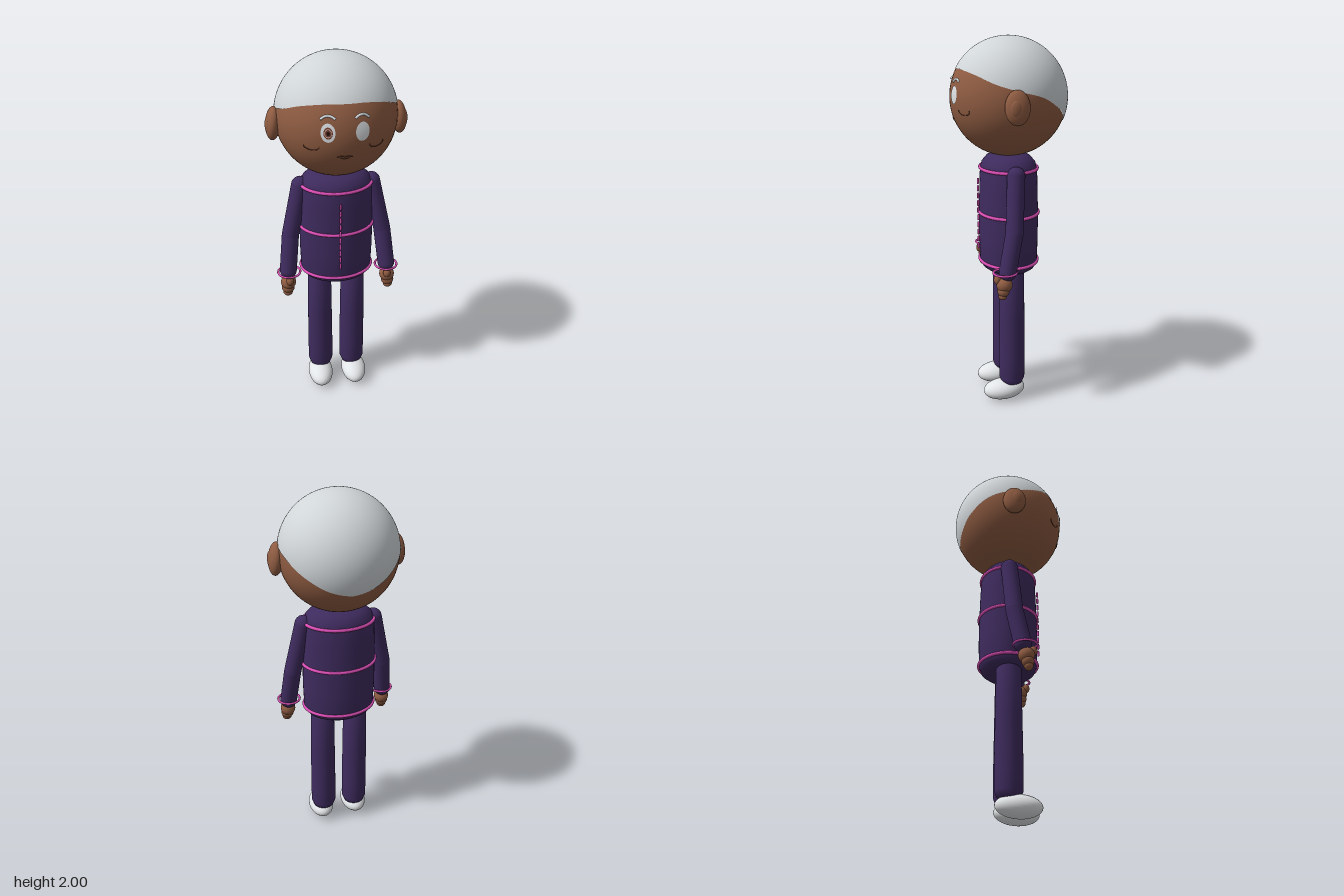
import * as THREE from 'three';

const mat = (name, color, side = THREE.FrontSide) => {
  const m = new THREE.MeshStandardMaterial({ color, side });
  m.name = name;
  return m;
};
const V = (x, y, z) => new THREE.Vector3(x, y, z);
const HEAD_Y = 1.693, HEAD_R = 0.304;

export function createModel() {
  const skin = mat('brown skin', 0x8f5c42);
  const line = mat('dark skin line', 0x5e3423);
  const hairMat = mat('silver hair', 0xd0d5d8, THREE.DoubleSide);
  const cloth = mat('purple cloth', 0x3e2b5e);
  const trim = mat('pink trim', 0xd94db4);
  const shoeMat = mat('white shoe', 0xe4e7e9);
  const eyeMat = mat('eye white', 0xdfe3e6);
  const irisMat = mat('iris brown', 0x7a4030);
  const pupilMat = mat('pupil dark', 0x24120e);

  const model = new THREE.Group();
  model.name = 'figure';
  const add = (name, geo, material, x = 0, y = 0, z = 0) => {
    const mesh = new THREE.Mesh(geo, material);
    mesh.name = name;
    mesh.position.set(x, y, z);
    model.add(mesh);
    return mesh;
  };
  const ball = (name, material, p, rx, ry, rz) => {
    const mesh = add(name, new THREE.SphereGeometry(1, 32, 20), material, ...p);
    mesh.scale.set(rx, ry, rz);
    return mesh;
  };
  // round-ended limb between two points
  const limb = (name, material, a, b, r) => {
    const d = b.clone().sub(a);
    const mesh = add(name, new THREE.CapsuleGeometry(r, d.length(), 10, 28), material);
    mesh.position.copy(a).add(b).multiplyScalar(0.5);
    mesh.quaternion.setFromUnitVectors(V(0, 1, 0), d.normalize());
    return mesh;
  };
  // point on the front of the head
  const onFace = (x, y, lift) => {
    const r = HEAD_R + lift, dy = y - HEAD_Y;
    return V(x, y, Math.sqrt(r * r - x * x - dy * dy));
  };
  // thin oval following the face
  const oval = (name, material, x, y, rx, ry, lift) => {
    const geo = new THREE.RingGeometry(0.001, 1, 36, 4);
    const pos = geo.attributes.position;
    for (let i = 0; i < pos.count; i++) {
      const p = onFace(x + pos.getX(i) * rx, y + pos.getY(i) * ry, lift);
      pos.setXYZ(i, p.x, p.y, p.z);
    }
    geo.computeVertexNormals();
    return add(name, geo, material);
  };
  // thin cord following the face
  const faceLine = (name, material, points, r, closed = false) => {
    const curve = new THREE.CatmullRomCurve3(points.map(([x, y]) => onFace(x, y, 0.001)), closed);
    return add(name, new THREE.TubeGeometry(curve, 32, r, 8, closed), material);
  };

  // head
  add('head', new THREE.SphereGeometry(HEAD_R, 64, 40), skin, 0, HEAD_Y, 0);

  // hair cap: hairline heights run from the front round to the back
  const hairline = new THREE.SplineCurve(
    [1.84, 1.836, 1.815, 1.775, 1.742, 1.71, 1.648, 1.588, 1.562]
      .map((y, i) => new THREE.Vector2(i / 8, y)));
  const hairGeo = new THREE.SphereGeometry(1, 96, 32);
  const hp = hairGeo.attributes.position, uv = hairGeo.attributes.uv;
  for (let i = 0; i < hp.count; i++) {
    const a = uv.getX(i) * Math.PI * 2, v = 1 - uv.getY(i);
    const turn = Math.acos(THREE.MathUtils.clamp(Math.sin(a), -1, 1)) / Math.PI;
    const edge = Math.acos((hairline.getPoint(turn).y - HEAD_Y) / 0.307);
    const t = edge * Math.min(1, v * 32 / 31);
    const n = V(-Math.cos(a) * Math.sin(t), Math.cos(t), Math.sin(a) * Math.sin(t));
    const r = v > 0.99 ? 0.301 : 0.307;   // last ring tucks into the scalp
    hp.setXYZ(i, n.x * r, n.y * r, n.z * r);
    hairGeo.attributes.normal.setXYZ(i, n.x, n.y, n.z);
  }
  add('hair', hairGeo, hairMat, 0, HEAD_Y, 0);

  // torso, an oval lathe
  const profile = [[0, 0.752], [0.09, 0.754], [0.145, 0.762], [0.178, 0.782], [0.194, 0.815],
    [0.198, 0.95], [0.197, 1.085], [0.193, 1.22], [0.188, 1.32], [0.176, 1.355],
    [0.145, 1.385], [0.1, 1.402], [0, 1.41]].map(([x, y]) => new THREE.Vector2(x, y));
  add('jacket', new THREE.LatheGeometry(profile, 48), cloth).scale.z = 0.8;

  // bands round the jacket
  for (const [y, r] of [[1.325, 0.188], [1.085, 0.198], [0.815, 0.195]]) {
    const band = add('jacketBand', new THREE.TorusGeometry(r, 0.009, 10, 64).rotateX(Math.PI / 2), trim, 0, y, 0);
    band.scale.z = 0.81;
  }
  // stitched zip
  for (let i = 0; i < 10; i++) {
    add('zipStitch', new THREE.CapsuleGeometry(0.006, 0.022, 4, 8), trim, 0, 0.895 + i * 0.04, 0.165);
  }

  for (const s of [-1, 1]) {
    // ears
    ball('ear', skin, [s * 0.312, 1.67, 0.022], 0.038, 0.085, 0.062).rotation.z = s * 0.1;
    ball('innerEar', skin, [s * 0.336, 1.665, 0.032], 0.017, 0.046, 0.032);

    // eyes, brows and cheeks
    oval('eye', eyeMat, s * 0.08, 1.715, 0.033, 0.045, 0.003);
    faceLine('eyebrow', eyeMat,
      [[s * 0.045, 1.778], [s * 0.066, 1.79], [s * 0.09, 1.79], [s * 0.112, 1.776]], 0.006);
    const cheek = [];
    for (let i = 0; i <= 8; i++) {
      const a = Math.PI * (0.95 + i * 0.14);
      cheek.push([s * 0.153 + 0.035 * Math.cos(a), 1.642 + 0.021 * Math.sin(a)]);
    }
    faceLine('cheekLine', line, cheek, 0.002);

    // arms
    const shoulder = V(s * 0.188, 1.315, 0), elbow = V(s * 0.25, 1.03, 0.022);
    const wrist = V(s * 0.272, 0.83, 0.062);
    limb('upperArm', cloth, shoulder, elbow, 0.046);
    limb('forearm', cloth, elbow, wrist, 0.046);
    add('cuffRing', new THREE.TorusGeometry(0.06, 0.006, 10, 40).rotateX(Math.PI / 2), trim,
      s * 0.268, 0.828, 0.075);

    // hands
    ball('palm', skin, [s * 0.275, 0.765, 0.08], 0.041, 0.042, 0.042);
    ball('fingers', skin, [s * 0.278, 0.733, 0.086], 0.035, 0.032, 0.032);
    ball('fingertips', skin, [s * 0.28, 0.706, 0.09], 0.026, 0.022, 0.023);
    ball('thumb', skin, [s * 0.268, 0.792, 0.115], 0.02, 0.026, 0.02);

    // legs and shoes
    const leg = [[0, 0.09], [0.04, 0.093], [0.06, 0.105], [0.071, 0.135], [0.072, 0.25],
      [0.069, 0.5], [0.065, 0.8], [0, 0.8]].map(([x, y]) => new THREE.Vector2(x, y));
    add('leg', new THREE.LatheGeometry(leg, 36), cloth, s * 0.094, 0, 0);
    ball('shoe', shoeMat, [s * 0.101, 0.062, 0.047], 0.072, 0.058, 0.117).rotation.x = 0.06;
  }

  // open eye on the right side
  oval('iris', irisMat, -0.08, 1.715, 0.021, 0.028, 0.005);
  oval('irisRing', eyeMat, -0.08, 1.715, 0.016, 0.021, 0.006);
  oval('innerIris', irisMat, -0.08, 1.715, 0.014, 0.018, 0.007);
  oval('pupil', pupilMat, -0.08, 1.715, 0.008, 0.01, 0.008);

  // mouth
  faceLine('upperLip', line, [[-0.036, 1.59], [-0.014, 1.594], [0, 1.591], [0.014, 1.594], [0.036, 1.59]], 0.0025);
  faceLine('lowerLip', line, [[-0.022, 1.584], [0, 1.579], [0.022, 1.584]], 0.002);

  return model;
}
